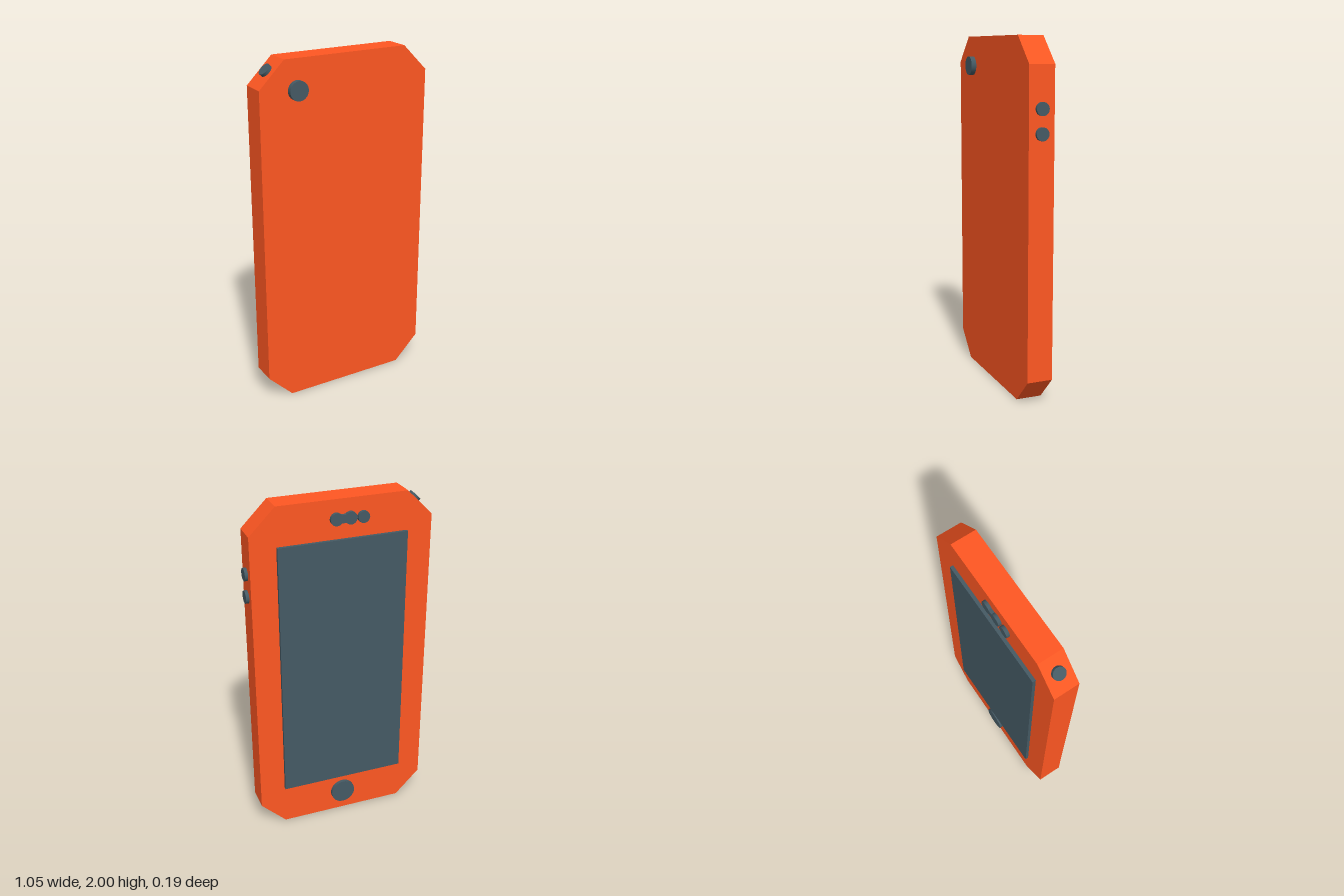
import * as THREE from 'three';

const ORANGE = new THREE.MeshStandardMaterial({ color: 0xff5722 });
const DARK = new THREE.MeshStandardMaterial({ color: 0x455a64 });

const MID_X = -0.01, MID_Z = -0.005; // centre of the case
const FRONT = 0.068, BACK = -0.078;  // case faces
const SINK = 0.01;                   // how far details sit inside the case

export function createModel() {
  const phone = new THREE.Group();
  phone.name = 'phone';

  function add(name, geometry, material, x, y, z) {
    const mesh = new THREE.Mesh(geometry, material);
    mesh.name = name;
    mesh.position.set(x, y, z);
    phone.add(mesh);
    return mesh;
  }

  // Round disc standing `height` proud of a surface point along its normal
  function addDisc(name, radius, height, point, normal) {
    const n = new THREE.Vector3(...normal).normalize();
    const mesh = add(name, new THREE.CylinderGeometry(radius, radius, height + SINK, 32), DARK, ...point);
    mesh.position.addScaledVector(n, (height - SINK) / 2);
    mesh.quaternion.setFromUnitVectors(new THREE.Vector3(0, 1, 0), n);
  }

  // Case: slab with four cut corners
  const w = 0.517, h = 1, cut = 0.147;
  const outline = new THREE.Shape([
    [-w + cut, -h], [w - cut, -h], [w, -h + cut], [w, h - cut],
    [w - cut, h], [-w + cut, h], [-w, h - cut], [-w, -h + cut],
  ].map(([x, y]) => new THREE.Vector2(x, y)));
  add('case', new THREE.ExtrudeGeometry(outline, { depth: FRONT - BACK, bevelEnabled: false }),
    ORANGE, MID_X, 1, BACK);

  // Screen
  add('screen', new THREE.BoxGeometry(0.74, 1.535, 0.019 + SINK), DARK,
    MID_X, 1.012, BACK - (0.019 - SINK) / 2);

  // Earpiece: two round ends joined by a narrower neck
  const r = 0.035, a = 0.7;
  const ear = new THREE.Shape();
  ear.absarc(0.04, 0, r, -Math.PI + a, Math.PI - a, false);
  ear.absarc(-0.04, 0, r, a, 2 * Math.PI - a, false);
  ear.closePath();
  add('earpiece', new THREE.ExtrudeGeometry(ear, { depth: 0.019 + SINK, bevelEnabled: false, curveSegments: 24 }),
    DARK, MID_X, 1.893, BACK - 0.019);

  // Round details on the screen side and the camera on the other
  addDisc('screenSideCamera', 0.033, 0.019, [-0.123, 1.89, BACK], [0, 0, -1]);
  addDisc('homeButton', 0.073, 0.019, [MID_X, 0.13, BACK], [0, 0, -1]);
  addDisc('mainCamera', 0.054, 0.029, [-0.308, 1.832, FRONT], [0, 0, 1]);

  // Volume buttons on the edge, power button on the cut corner
  for (const y of [1.625, 1.495]) addDisc('volumeButton', 0.036, 0.018, [w + MID_X, y, MID_Z], [1, 0, 0]);
  addDisc('powerButton', 0.036, 0.018, [-0.447, 1.933, MID_Z], [-1, 1, 0]);

  return phone;
}
